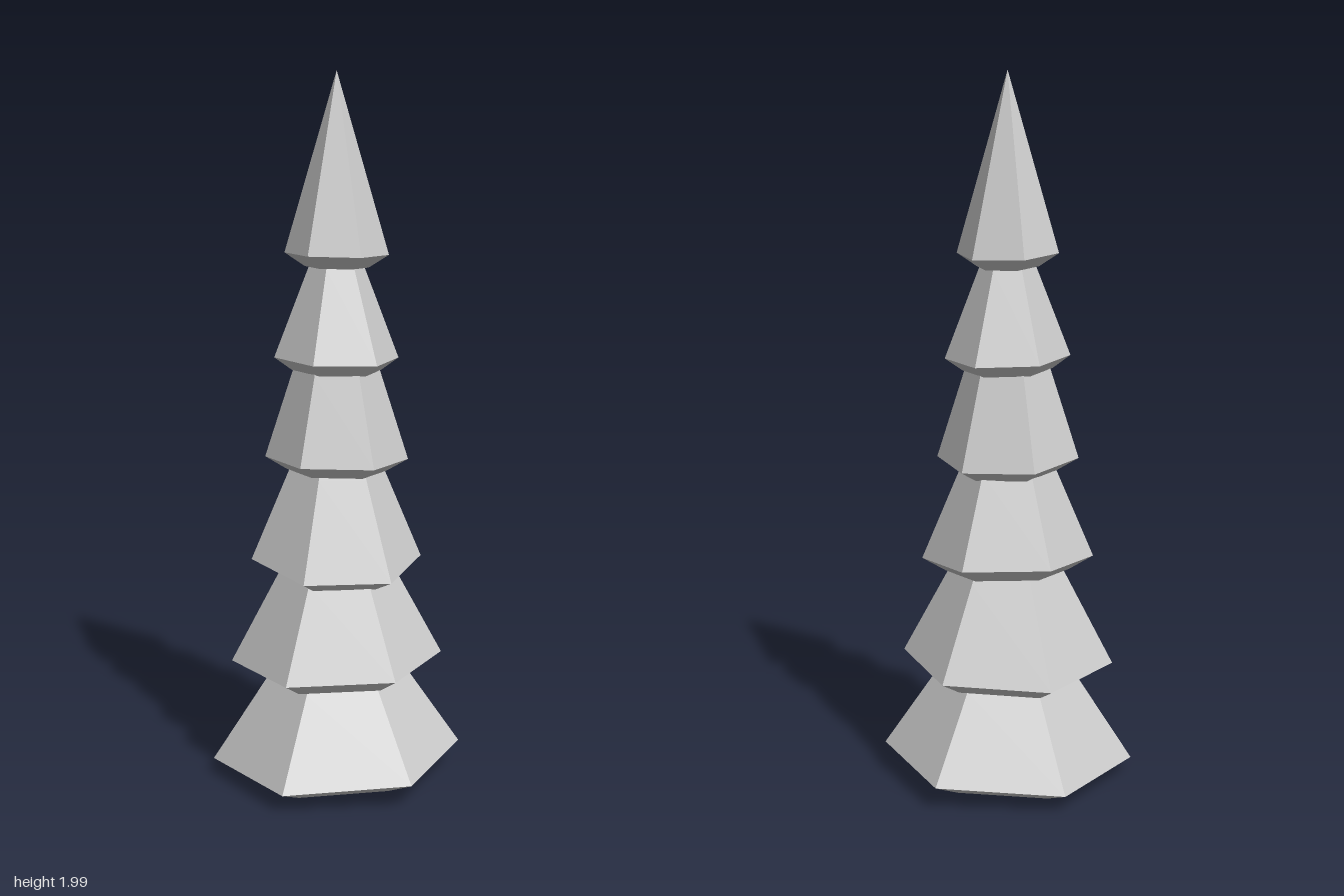
import * as THREE from 'three';

// Per tier: rim radius and height, under-edge radius and height,
// neck radius and height, twist, and tilt along x and z.
const TIERS = [
  { rim: [0.356, 0.065], under: [0.25, 0.016], neck: [0.2, 0.3], twist: 0, tilt: [0.04, -0.014] },
  { rim: [0.3, 0.35], under: [0.225, 0.307], neck: [0.165, 0.605], twist: 0.05, tilt: [0.04, 0.01] },
  { rim: [0.242, 0.645], under: [0.175, 0.607], neck: [0.133, 0.905], twist: -0.05, tilt: [-0.06, -0.06] },
  { rim: [0.2, 0.935], under: [0.14, 0.9], neck: [0.122, 1.18], twist: 0.085, tilt: [0, 0.05] },
  { rim: [0.174, 1.22], under: [0.125, 1.185], neck: [0.078, 1.47], twist: -0.06, tilt: [-0.015, 0.03] },
  { rim: [0.143, 1.508], under: [0.088, 1.472], neck: [0, 2], twist: 0.14, tilt: [0, 0.05] },
];

// Hexagonal skirt with a bevelled rim and a hollow underside
function tierGeometry({ rim, under, neck, twist, tilt }) {
  const profile = [
    [0, rim[1] + 0.065],
    [under[0] * 0.6, rim[1] + 0.045],
    under,
    rim,
    neck,
  ];
  // Carry the slope on a little so the neck is buried in the tier above
  if (neck[0] > 0) {
    const slope = (neck[0] - rim[0]) / (neck[1] - rim[1]);
    profile.push([neck[0] + slope * 0.09, neck[1] + 0.09]);
  }
  const points = profile.map(([r, y]) => new THREE.Vector2(r, y));
  const geometry = new THREE.LatheGeometry(points, 6, -twist);

  // Tilt the skirt by a slope in x and z; the axis stays in place
  const p = geometry.attributes.position;
  for (let i = 0; i < p.count; i++) {
    p.setY(i, p.getY(i) + tilt[0] * p.getX(i) + tilt[1] * p.getZ(i));
  }
  geometry.computeVertexNormals();
  return geometry;
}

export function createModel() {
  const tree = new THREE.Group();
  tree.name = 'coniferTree';
  const material = new THREE.MeshStandardMaterial({ color: 0xcccccc, flatShading: true });
  TIERS.forEach((tier, i) => {
    const mesh = new THREE.Mesh(tierGeometry(tier), material);
    mesh.name = i === TIERS.length - 1 ? 'treeTop' : `branchTier${i + 1}`;
    tree.add(mesh);
  });
  return tree;
}
